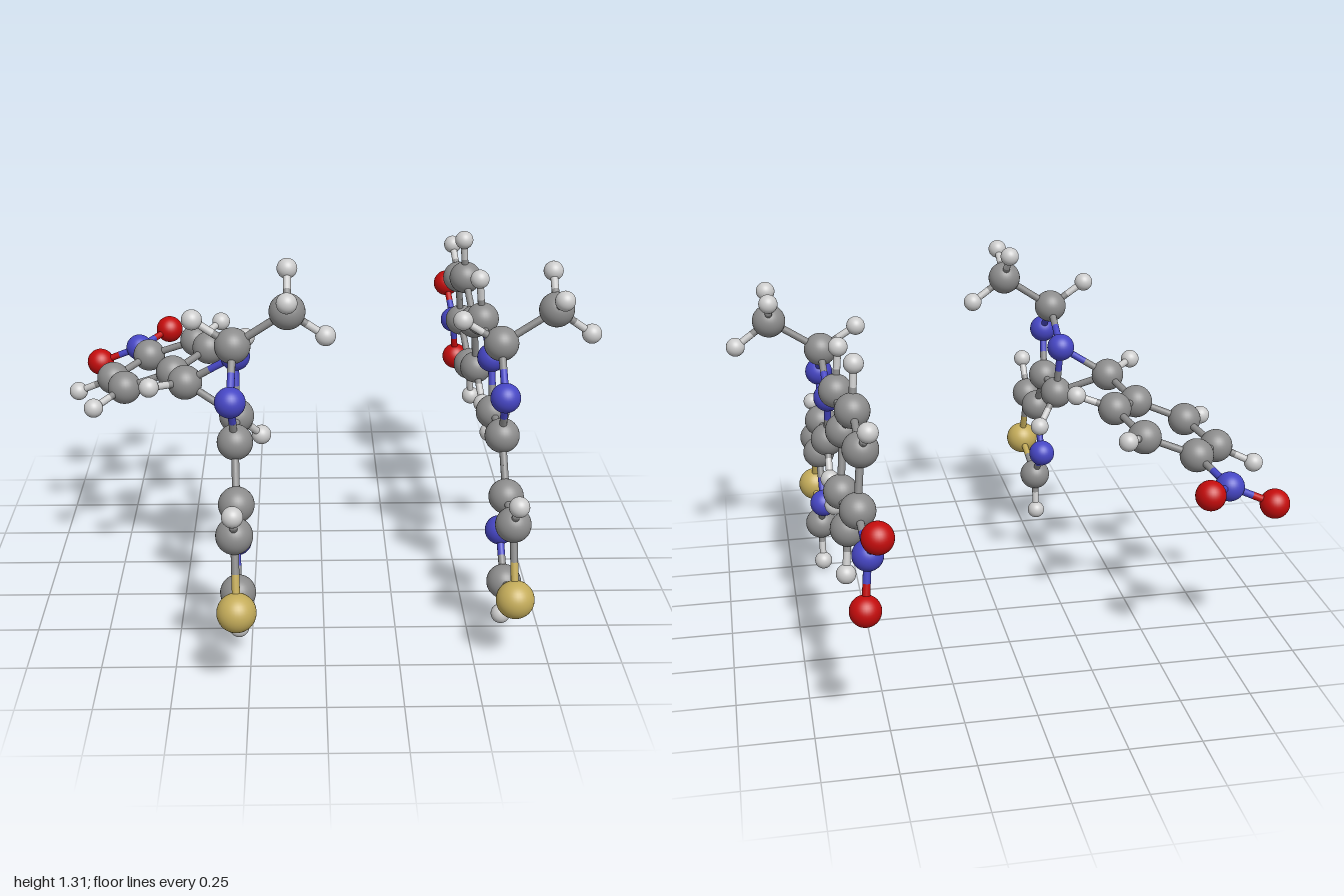
import * as THREE from 'three';

// Ball radius and colour per element
const ELEMENTS = {
  C: { name: 'carbon', r: 0.06, color: 0x8c8c8c },
  N: { name: 'nitrogen', r: 0.051, color: 0x4646c4 },
  O: { name: 'oxygen', r: 0.052, color: 0xc40c0c },
  S: { name: 'sulfur', r: 0.064, color: 0xc4ac5a },
  H: { name: 'hydrogen', r: 0.034, color: 0xc4c4c4 },
};
const STICK = 0.013;

// Both molecules list their atoms in this order
const ATOMS = [...'SCCNC' + 'HH' + 'CNCNC' + 'HH' + 'CHHH' + 'CH' + 'CCCCCC' + 'HHHH' + 'NOO'];

const BONDS = [
  [0, 1], [1, 2], [2, 3], [3, 4], [4, 0], [1, 5], [4, 6],        // sulfur ring
  [2, 7], [7, 8], [8, 9], [9, 10], [10, 11], [11, 7],            // two-nitrogen ring
  [9, 12], [11, 13], [9, 14], [14, 15], [14, 16], [14, 17],      // methyl
  [10, 18], [18, 19], [18, 20],                                  // linking carbon
  [20, 21], [21, 22], [22, 23], [23, 24], [24, 25], [25, 20],    // six-sided ring
  [21, 26], [22, 27], [24, 28], [25, 29],
  [23, 30], [30, 31], [30, 32],                                  // nitro group
];

// Closed form: the linking carbon also bonds to the ring
const CLOSED = [
  [-0.285, 0.316, 0.935], [-0.29, 0.55, 0.86], [-0.29, 0.567, 0.67], [-0.295, 0.39, 0.578], [-0.29, 0.25, 0.685],
  [-0.29, 0.668, 0.967], [-0.29, 0.10, 0.655],
  [-0.295, 0.74, 0.555], [-0.305, 0.91, 0.63], [-0.30, 1.05, 0.48], [-0.30, 0.945, 0.29], [-0.297, 0.745, 0.34],
  [-0.43, 1.14, 0.48], [-0.215, 0.64, 0.258],
  [-0.12, 1.17, 0.49], [-0.12, 1.245, 0.635], [-0.12, 1.283, 0.383], [0.005, 1.083, 0.48],
  [-0.477, 0.836, 0.255], [-0.592, 0.857, 0.357],
  [-0.535, 0.798, 0.055], [-0.413, 0.836, -0.098], [-0.472, 0.797, -0.288],
  [-0.656, 0.727, -0.32], [-0.778, 0.692, -0.167], [-0.715, 0.727, 0.02],
  [-0.277, 0.885, -0.07], [-0.382, 0.833, -0.403], [-0.915, 0.628, -0.198], [-0.815, 0.693, 0.135],
  [-0.714, 0.688, -0.515], [-0.873, 0.62, -0.537], [-0.603, 0.72, -0.642],
];

// Open form: the linking carbon is held by the nitrogen alone
const OPEN = [
  [0.627, 0.252, 0.752], [0.62, 0.49, 0.675], [0.62, 0.503, 0.487], [0.617, 0.327, 0.39], [0.623, 0.187, 0.508],
  [0.62, 0.605, 0.782], [0.623, 0.038, 0.47],
  [0.613, 0.68, 0.374], [0.607, 0.85, 0.455], [0.606, 0.99, 0.305], [0.60, 0.87, 0.117], [0.605, 0.685, 0.17],
  [0.473, 1.073, 0.305], [0.608, 0.566, 0.076],
  [0.788, 1.11, 0.304], [0.79, 1.183, 0.437], [0.79, 1.21, 0.185], [0.914, 1.02, 0.295],
  [0.583, 0.957, -0.053], [0.567, 1.112, -0.037],
  [0.577, 0.882, -0.24], [0.555, 1.01, -0.39], [0.55, 0.952, -0.583],
  [0.57, 0.759, -0.626], [0.592, 0.626, -0.476], [0.597, 0.68, -0.294],
  [0.543, 1.164, -0.365], [0.535, 1.053, -0.696], [0.607, 0.477, -0.512], [0.613, 0.577, -0.177],
  [0.56, 0.695, -0.818], [0.54, 0.814, -0.946], [0.577, 0.52, -0.855],
];

export function createModel() {
  const model = new THREE.Group();
  model.name = 'moleculePair';

  const parts = {};
  for (const [key, e] of Object.entries(ELEMENTS)) {
    parts[key] = {
      ball: new THREE.SphereGeometry(e.r, 32, 20),
      material: new THREE.MeshStandardMaterial({ color: e.color }),
    };
  }
  const stickGeometry = new THREE.CylinderGeometry(STICK, STICK, 1, 14);
  const up = new THREE.Vector3(0, 1, 0);

  // Half of a bond, coloured like the atom it starts from
  function halfBond(from, to, element) {
    const dir = to.clone().sub(from);
    const mesh = new THREE.Mesh(stickGeometry, parts[element].material);
    mesh.name = ELEMENTS[element].name + 'Bond';
    mesh.position.copy(from).addScaledVector(dir, 0.5);
    mesh.scale.y = dir.length();
    mesh.quaternion.setFromUnitVectors(up, dir.normalize());
    return mesh;
  }

  function molecule(name, positions, bonds) {
    const group = new THREE.Group();
    group.name = name;
    const points = positions.map((p) => new THREE.Vector3(...p));
    points.forEach((p, i) => {
      const ball = new THREE.Mesh(parts[ATOMS[i]].ball, parts[ATOMS[i]].material);
      ball.name = ELEMENTS[ATOMS[i]].name + 'Atom';
      ball.position.copy(p);
      group.add(ball);
    });
    for (const [a, b] of bonds) {
      const middle = points[a].clone().lerp(points[b], 0.5);
      group.add(halfBond(points[a], middle, ATOMS[a]), halfBond(points[b], middle, ATOMS[b]));
    }
    return group;
  }

  model.add(molecule('closedMolecule', CLOSED, [...BONDS, [11, 18]]));
  model.add(molecule('openMolecule', OPEN, BONDS));
  return model;
}
